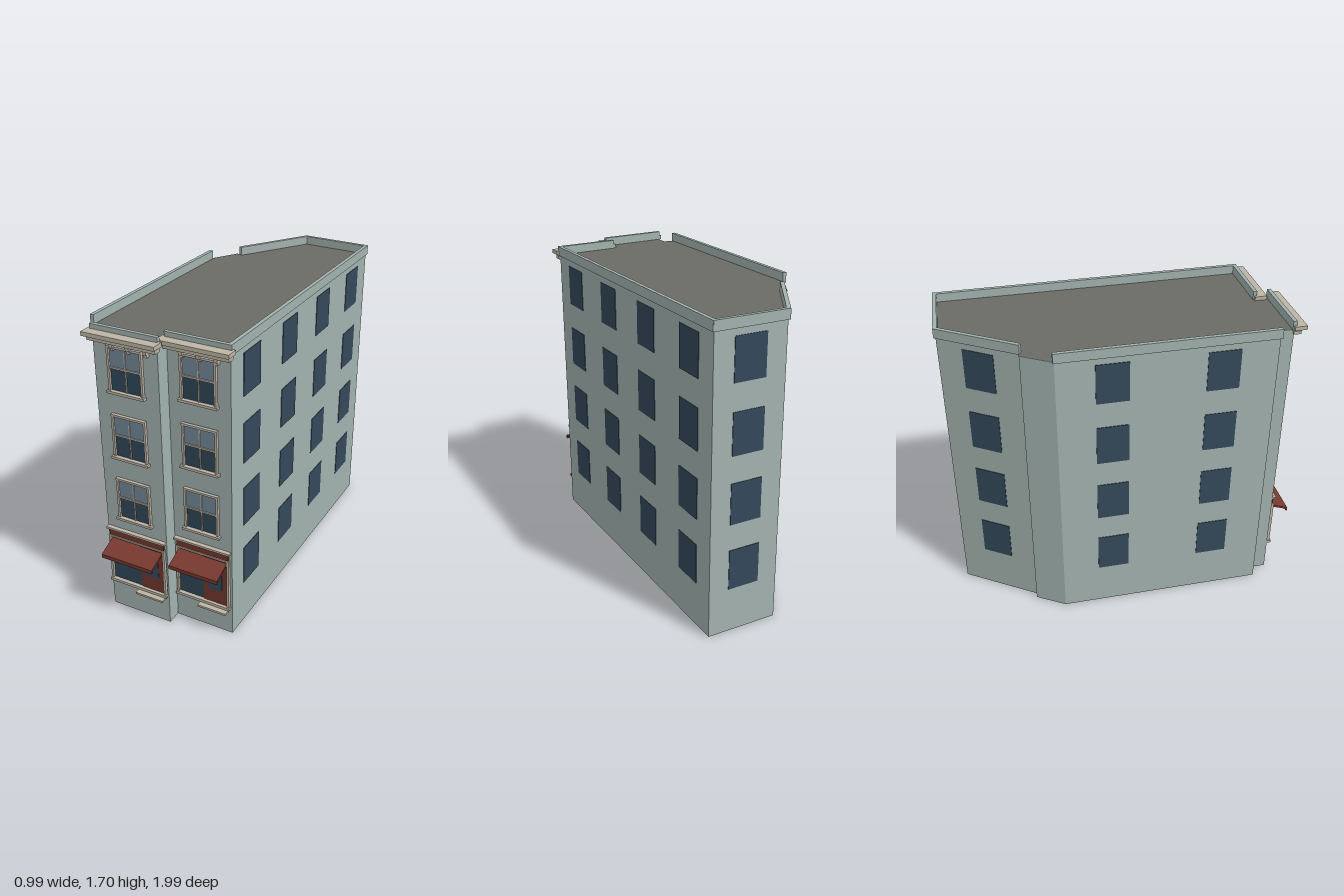
import * as THREE from 'three';

const mat = (color) => new THREE.MeshStandardMaterial({ color });
const M = {
  wall: mat(0xa3b3af), roof: mat(0x6b6b65), glass: mat(0x34495b), darkGlass: mat(0x304758),
  paleGlass: mat(0x73889a), trim: mat(0xbdb5a5), red: mat(0x73352e), awning: mat(0x78392f),
};

// Footprint corners [x, z], running left to right as seen from outside
const PLAN = [
  [-0.225, 0.885], [0.137, 0.825], [0.125, 0.745], [0.465, 0.69], [0.205, -0.985], [-0.19, -0.94],
  [-0.38, -0.515], [-0.41, -0.515], [-0.48, -0.345], [-0.305, 0.80], [-0.238, 0.80],
];
const ROOF = 1.648, TOP = 1.698;

// Box from its centre x, bottom and top y, back and front z
function slab(parent, name, material, x, w, y0, y1, z0, z1) {
  const mesh = new THREE.Mesh(new THREE.BoxGeometry(w, y1 - y0, z1 - z0), material);
  mesh.position.set(x, (y0 + y1) / 2, (z0 + z1) / 2);
  mesh.name = name;
  parent.add(mesh);
  return mesh;
}

// Group in the plane of a wall: x along it, z outward, origin at its middle
function wallGroup(i) {
  const [a, b] = [PLAN[i], PLAN[(i + 1) % PLAN.length]];
  const dx = b[0] - a[0], dz = b[1] - a[1];
  const group = new THREE.Group();
  group.position.set((a[0] + b[0]) / 2, 0, (a[1] + b[1]) / 2);
  group.rotation.y = Math.atan2(-dz, dx);
  group.userData.length = Math.hypot(dx, dz);
  return group;
}

// Two-over-two sash window with frame and sill
function sashWindow(y) {
  const g = new THREE.Group();
  g.name = 'sashWindow';
  const t = 0.012, h = 0.25, w = 0.2, mid = y + 0.132;
  slab(g, 'lowerPane', M.darkGlass, 0, w - t, y, mid, -0.01, 0.004);
  slab(g, 'upperPane', M.paleGlass, 0, w - t, mid, y + h, -0.01, 0.006);
  for (const s of [-1, 1]) slab(g, 'jamb', M.trim, s * (w - t) / 2, t, y, y + h, -0.01, 0.016);
  slab(g, 'head', M.trim, 0, w, y + h - t, y + h, -0.01, 0.018);
  slab(g, 'sill', M.trim, 0, w + 0.018, y - 0.004, y + 0.01, -0.01, 0.026);
  slab(g, 'meetingRail', M.trim, 0, w, mid - 0.005, mid + 0.005, -0.01, 0.012);
  slab(g, 'mullion', M.trim, 0, 0.007, y, y + h, -0.01, 0.01);
  return g;
}

// Sloped awning with a short valance
function awning(width) {
  const profile = new THREE.Shape([
    [0, 0.465], [0.115, 0.419], [0.115, 0.397], [0.108, 0.397], [0.108, 0.41], [0, 0.452],
  ].map(([z, y]) => new THREE.Vector2(z, y)));
  const geo = new THREE.ExtrudeGeometry(profile, { depth: width, bevelEnabled: false });
  geo.rotateY(-Math.PI / 2).translate(width / 2, 0, 0);
  const mesh = new THREE.Mesh(geo, M.awning);
  mesh.name = 'awning';
  return mesh;
}

// Shop window, door, sign band and step
function shopfront(w, y) {
  const g = new THREE.Group();
  g.name = 'shopfront';
  const top = 0.478, t = 0.013, half = w / 2, doorW = 0.137;
  const door = half - 0.018 - doorW / 2, doorL = door - doorW / 2;
  const glassW = doorL + half, glassX = (doorL - half) / 2, rail = y + 0.155;
  slab(g, 'shopGlass', M.darkGlass, glassX, glassW, y, rail, -0.01, 0.004);
  slab(g, 'transomGlass', M.paleGlass, glassX, glassW, rail, top, -0.01, 0.005);
  slab(g, 'transomRail', M.trim, glassX, glassW, rail - 0.005, rail + 0.005, -0.01, 0.014);
  slab(g, 'windowMullion', M.trim, glassX + 0.01, 0.006, rail, top, -0.01, 0.01);
  slab(g, 'doorSurround', M.darkGlass, half - 0.012, 0.024, y, top, -0.01, 0.004);
  slab(g, 'door', M.red, door, doorW, y + 0.01, top, -0.01, 0.009);
  slab(g, 'doorGlass', M.glass, door, 0.082, y + 0.093, 0.43, -0.01, 0.011);
  for (const s of [-1, 1]) slab(g, 'post', M.trim, s * (half - t / 2), t, y, top, -0.01, 0.018);
  slab(g, 'shopSill', M.trim, 0, w + 0.008, y - 0.006, y + 0.01, -0.01, 0.026);
  slab(g, 'doorStep', M.trim, door, 0.17, y - 0.018, y - 0.006, -0.01, 0.055);
  slab(g, 'signLedge', M.trim, 0, w, top - 0.006, top + 0.004, -0.01, 0.018);
  slab(g, 'signBand', M.red, 0, w - 0.01, top, 0.522, -0.01, 0.013);
  slab(g, 'signCornice', M.trim, 0, w + 0.012, 0.522, 0.534, -0.01, 0.024);
  return g;
}

// One complete street front
function facade(index, name, shopW, shopY, awningW, brackets) {
  const g = wallGroup(index), L = g.userData.length;
  g.name = name;
  for (const y of [0.61, 0.984, 1.357]) g.add(sashWindow(y));
  g.add(shopfront(shopW, shopY), awning(awningW));
  slab(g, 'upperCornice', M.trim, 0, L + 0.045, 1.65, 1.672, -0.005, 0.062);
  slab(g, 'lowerCornice', M.trim, 0, L + 0.02, 1.622, 1.64, -0.005, 0.036);
  slab(g, 'corniceCore', M.trim, 0, L + 0.01, 1.638, 1.652, -0.005, 0.024);
  for (const x of brackets) {
    slab(g, 'bracket', M.trim, x, 0.02, 1.602, 1.624, -0.005, 0.03);
    slab(g, 'bracketFoot', M.trim, x, 0.016, 1.585, 1.604, -0.005, 0.02);
  }
  return g;
}

export function createModel() {
  const model = new THREE.Group();
  model.name = 'cornerBuilding';

  // Main block and roof deck
  const plan = new THREE.Shape(PLAN.map(([x, z]) => new THREE.Vector2(x, -z)));
  const bodyGeo = new THREE.ExtrudeGeometry(plan, { depth: ROOF, bevelEnabled: false });
  const body = new THREE.Mesh(bodyGeo.rotateX(-Math.PI / 2), M.wall);
  body.name = 'walls';
  const roof = new THREE.Mesh(new THREE.ShapeGeometry(plan).rotateX(-Math.PI / 2), M.roof);
  roof.position.y = ROOF + 0.002;
  roof.name = 'roofDeck';
  model.add(body, roof);

  // Parapets on the long walls only
  for (const i of [0, 2, 3, 4, 5, 8]) {
    const g = wallGroup(i);
    g.name = 'parapetWall';
    slab(g, 'parapet', M.wall, 0, g.userData.length + 0.014, ROOF - 0.004, TOP, -0.012, 0.009);
    model.add(g);
  }

  // Plain windows: wall index and number of columns
  for (const [i, columns] of [[3, 4], [4, 1], [5, 1], [8, 2]]) {
    const g = wallGroup(i), L = g.userData.length;
    g.name = 'plainWindows';
    for (let c = 0; c < columns; c++) {
      const x = ((c + 0.5) / columns - 0.5) * L;
      for (let floor = 0; floor < 4; floor++) {
        const y = 0.255 + floor * 0.3745;
        slab(g, 'plainWindow', M.glass, x, 0.175, y, y + 0.228, -0.005, 0.003);
      }
    }
    model.add(g);
  }

  // The two stepped street fronts
  model.add(facade(0, 'rightFacade', 0.35, 0.185, 0.315, [-0.063, 0.032, 0.128]));
  model.add(facade(2, 'leftFacade', 0.32, 0.17, 0.29, [-0.083, 0.012, 0.107]));
  return model;
}
